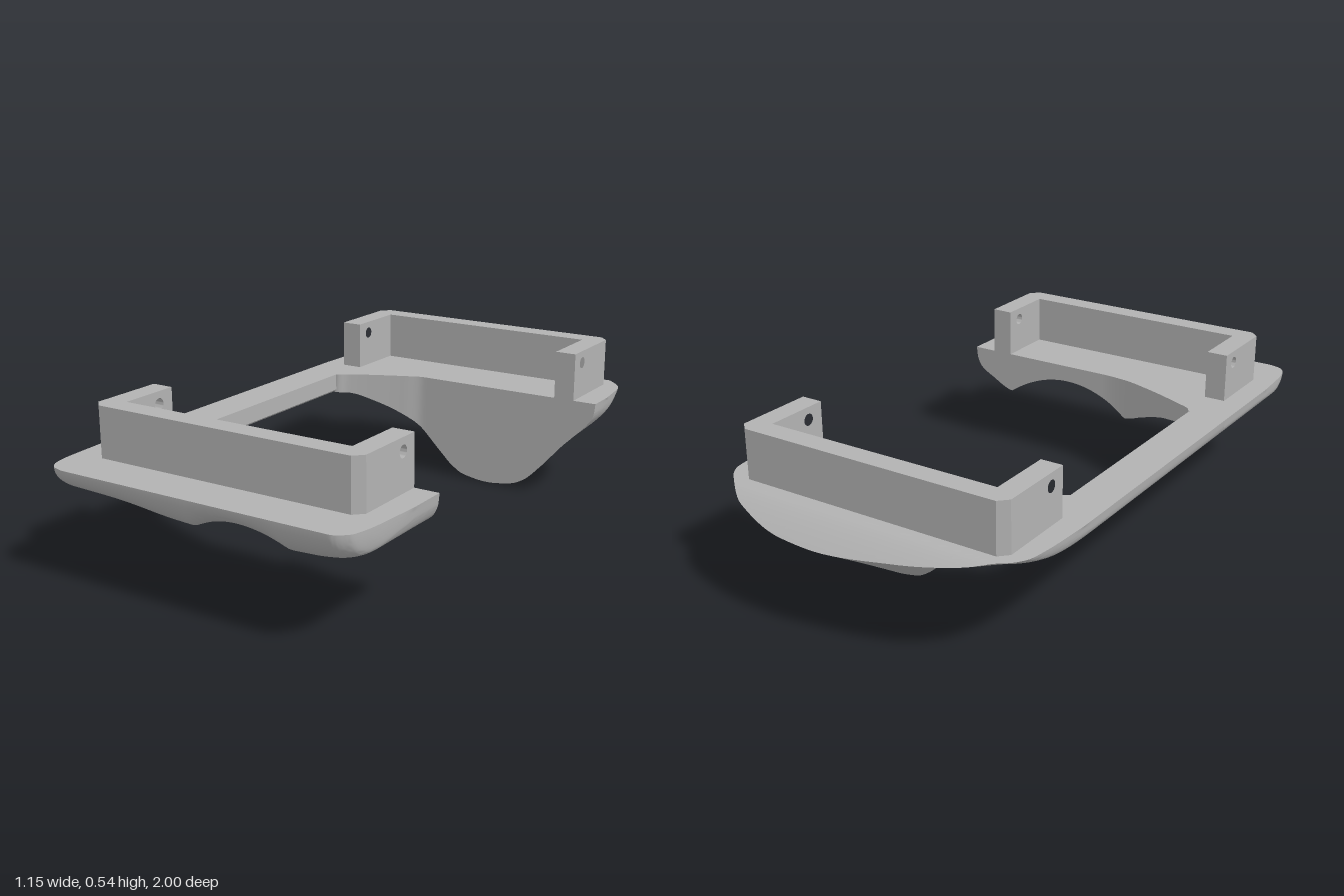
import * as THREE from 'three';
import { toCreasedNormals } from 'three/addons/utils/BufferGeometryUtils.js';

const TOP = 0.37;
const grey = new THREE.MeshStandardMaterial({ color: 0xb2b2b2 });
grey.name = 'grey plastic';

// Smooth curve through [x, value] points that never overshoots
function curve(pts) {
  const slope = (i) => (pts[i + 1][1] - pts[i][1]) / (pts[i + 1][0] - pts[i][0]);
  const tangent = pts.map((p, i) => {
    if (i === 0) return slope(0);
    if (i === pts.length - 1) return slope(i - 1);
    const a = slope(i - 1), b = slope(i);
    return a * b <= 0 ? 0 : (2 * a * b) / (a + b);
  });
  return (x) => {
    let i = 0;
    while (i < pts.length - 2 && x > pts[i + 1][0]) i++;
    const h = pts[i + 1][0] - pts[i][0];
    const t = THREE.MathUtils.clamp((x - pts[i][0]) / h, 0, 1);
    const s = t * t * (3 - 2 * t);
    return pts[i][1] * (1 - s) + pts[i + 1][1] * s
      + h * t * (1 - t) * ((1 - t) * tangent[i] - t * tangent[i + 1]);
  };
}

const leftEnd = [[-0.575, 0.37], [-0.57, 0.335], [-0.55, 0.312], [-0.5, 0.303]];
const rightEnd = [[0.55, 0.293], [0.57, 0.33], [0.575, 0.37]];

// Front pad: gently sagging underside with an arched groove running through it
const frontInnerY = curve([...leftEnd, [-0.4, 0.3], [-0.3, 0.287], [-0.2, 0.255], [-0.1, 0.218],
  [0.15, 0.2], [0.41, 0.22], [0.5, 0.262], ...rightEnd]);
const frontOuterY = curve([...leftEnd, [-0.3, 0.295], [-0.1, 0.28], [0.15, 0.272], [0.41, 0.278],
  [0.5, 0.285], ...rightEnd]);
const front = {
  name: 'frontPad', sign: 1,
  inner: curve([[-0.575, 0.4], [-0.435, 0.4], [-0.42, 0.425], [-0.37, 0.45], [-0.2, 0.52],
    [-0.1, 0.55], [0, 0.56], [0.575, 0.56]]),
  outer: curve([[-0.575, 0.75], [-0.565, 0.9], [-0.55, 0.96], [-0.52, 0.99], [-0.47, 1],
    [0.49, 1], [0.54, 0.97], [0.56, 0.9], [0.575, 0.7]]),
  top: () => TOP,
  bottom(x, z, t, zOut) {
    const sag = THREE.MathUtils.lerp(frontInnerY(x), frontOuterY(x), t);
    const groove = 0.31 - 0.092 * ((x - 0.155) / 0.255) ** 2;
    const s = Math.min(1, (zOut - z) / 0.08);
    return TOP - (TOP - Math.max(sag, groove)) * Math.sqrt(Math.max(0, 1 - (1 - s) ** 2));
  },
};

// Back pad: deep rounded lip sweeping up to a bevelled rear rim
const backInnerY = curve([...leftEnd, [-0.4, 0.298], [-0.3, 0.265], [-0.2, 0.215], [-0.15, 0.18],
  [-0.05, 0.085], [0, 0.04], [0.05, 0.013], [0.15, 0], [0.25, 0.013], [0.3, 0.035],
  [0.37, 0.1], [0.45, 0.19], [0.5, 0.24], ...rightEnd]);
const back = {
  name: 'backPad', sign: -1,
  inner: curve([[-0.575, 0.4], [-0.435, 0.4], [-0.4, 0.425], [-0.27, 0.49], [-0.2, 0.52],
    [-0.13, 0.545], [0.575, 0.545]]),
  outer: curve([[-0.575, 0.55], [-0.565, 0.72], [-0.55, 0.81], [-0.5, 0.87], [-0.4, 0.925],
    [-0.2, 0.97], [0.08, 1], [0.2, 0.995], [0.4, 0.945], [0.5, 0.87], [0.555, 0.8], [0.575, 0.65]]),
  top: (z) => TOP - 0.07 * Math.max(0, (z - 0.88) / 0.12) ** 1.4,
  bottom(x, z, t, zOut) {
    const y = backInnerY(x);
    const power = 1 + 3 * THREE.MathUtils.smoothstep(y, 0.2, 0.31);
    return THREE.MathUtils.lerp(y, back.top(zOut), t ** power);
  },
};

function add(parent, name, geometry) {
  const mesh = new THREE.Mesh(geometry, grey);
  mesh.name = name;
  parent.add(mesh);
  return mesh;
}

// Lofts closed sections in the z-y plane along x
function padGeometry(pad) {
  const nx = 140, n = 28, ring = 2 * (n + 1), pos = [], idx = [];
  for (let i = 0; i <= nx; i++) {
    const x = 0.575 * Math.sin((i / nx - 0.5) * Math.PI);
    const zIn = pad.inner(x), zOut = pad.outer(x);
    for (let j = 0; j < ring; j++) {
      const below = j <= n;
      const t = Math.sin(((below ? j : ring - 1 - j) / n) * Math.PI / 2);
      const z = THREE.MathUtils.lerp(zIn, zOut, t);
      const y = below ? pad.bottom(x, z, t, zOut) : pad.top(z);
      pos.push(x, y, z * pad.sign);
    }
  }
  for (let i = 0; i < nx; i++) {
    for (let j = 0; j < ring; j++) {
      const k = (j + 1) % ring;
      const a = i * ring + j, b = i * ring + k, c = a + ring, d = b + ring;
      if (pad.sign > 0) idx.push(a, c, b, b, c, d);
      else idx.push(a, b, c, b, d, c);
    }
  }
  const g = new THREE.BufferGeometry();
  g.setAttribute('position', new THREE.Float32BufferAttribute(pos, 3));
  g.setIndex(idx);
  return toCreasedNormals(g, 0.5);
}

// Side bar joining the pads, with a rounded outer lower edge
function barGeometry() {
  const s = new THREE.Shape();
  s.moveTo(-0.435, TOP);
  s.lineTo(-0.575, TOP);
  for (let i = 1; i <= 14; i++) {
    const x = -0.575 + 0.13 * (i / 14) ** 2;
    s.lineTo(x, frontInnerY(x));
  }
  s.lineTo(-0.435, 0.31);
  const g = new THREE.ExtrudeGeometry(s, { depth: 0.8, bevelEnabled: false });
  g.translate(0, 0, -0.4);
  return toCreasedNormals(g, 0.6);
}

// U-shaped bracket: chamfered wall plus two drilled arms
function bracket(name, sign, zIn) {
  const group = new THREE.Group();
  group.name = name;
  const height = 0.17, x0 = -0.495, x1 = 0.49, zWall = 0.77, zOut = 0.845, c = 0.03;
  const outline = [[x0, zWall], [x1, zWall], [x1, zOut - c], [x1 - c, zOut], [x0 + c, zOut], [x0, zOut - c]];
  const wall = new THREE.Shape(outline.map(([x, z]) => new THREE.Vector2(x, -z * sign)));
  const wallGeo = new THREE.ExtrudeGeometry(wall, { depth: height, bevelEnabled: false });
  wallGeo.rotateX(-Math.PI / 2).translate(0, TOP, 0);
  add(group, 'bracketWall', wallGeo);

  const arm = new THREE.Shape([[zIn, TOP], [zWall, TOP], [zWall, TOP + height], [zIn, TOP + height]]
    .map(([z, y]) => new THREE.Vector2(z * sign, y)));
  const hole = new THREE.Path();
  hole.absarc((zIn + 0.062) * sign, 0.497, 0.02, 0, Math.PI * 2, true);
  arm.holes.push(hole);
  for (const right of [-0.42, x1]) {
    const g = new THREE.ExtrudeGeometry(arm, { depth: 0.075, bevelEnabled: false, curveSegments: 20 });
    g.rotateY(-Math.PI / 2).translate(right, 0, 0);
    add(group, 'bracketArm', toCreasedNormals(g, 0.6));
  }
  return group;
}

export function createModel() {
  const model = new THREE.Group();
  model.name = 'clampFrame';
  for (const pad of [front, back]) add(model, pad.name, padGeometry(pad));
  add(model, 'sideBar', barGeometry());
  model.add(bracket('frontBracket', 1, 0.56), bracket('backBracket', -1, 0.545));
  return model;
}
